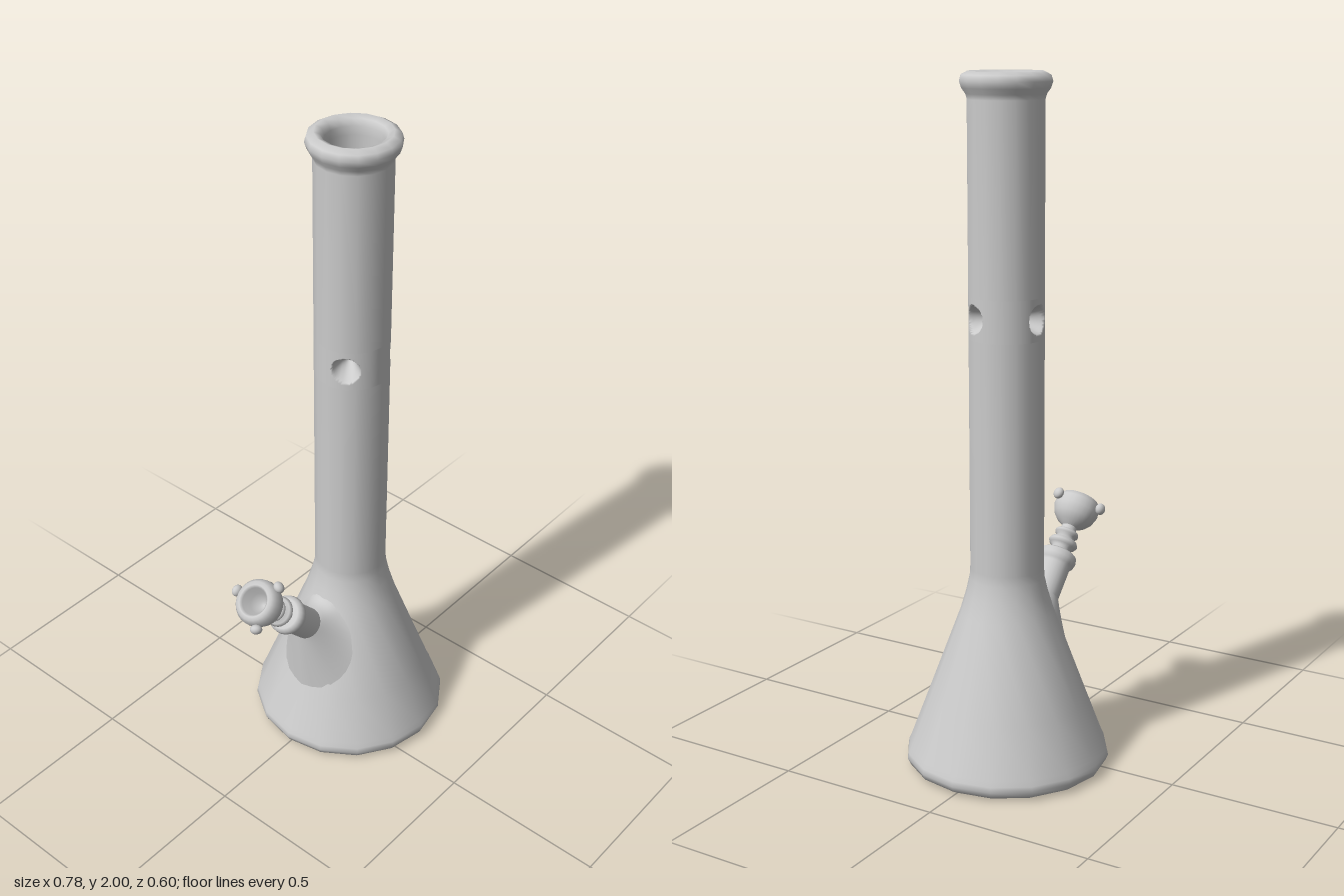
import * as THREE from 'three';

const AXIS_X = 0.09;          // centre line of the main vessel
const SIDES = 16;
const DENT_Y = 1.33, DENT_H = 0.12;
const TILT = 0.75;            // lean of the side joint
const JOINT = new THREE.Vector3(-0.205, 0.545, 0);

const solid = new THREE.MeshStandardMaterial({ color: 0xcccccc });
const thin = new THREE.MeshStandardMaterial({ color: 0xcccccc, side: THREE.DoubleSide });

function part(name, geometry, material = solid) {
  const mesh = new THREE.Mesh(geometry, material);
  mesh.name = name;
  return mesh;
}

function lathe(name, profile, sides = SIDES, material = solid) {
  const points = profile.map(([r, y]) => new THREE.Vector2(r, y));
  return part(name, new THREE.LatheGeometry(points, sides), material);
}

// Radius of the flared base at a given height
function baseRadius(y) {
  return y < 0.465
    ? THREE.MathUtils.mapLinear(y, 0.06, 0.465, 0.29, 0.138)
    : THREE.MathUtils.mapLinear(y, 0.465, 0.58, 0.138, 0.108);
}

// Distance from the centre to a many-sided wall at an angle
function facetRadius(r, angle) {
  const step = (2 * Math.PI) / SIDES;
  const a = ((angle % step) + step) % step - step / 2;
  return r * Math.cos(step / 2) / Math.cos(a);
}

// Dense band of tube wall with three pinches pushed towards the centre
function pinchedBand(name, r, dentRadius, depth) {
  const g = new THREE.CylinderGeometry(r, r, DENT_H, 160, 30, true);
  const pos = g.attributes.position;
  const radial = g.attributes.normal.clone();
  const dented = [];
  for (let i = 0; i < pos.count; i++) {
    const angle = Math.atan2(pos.getX(i), pos.getZ(i));
    const k = facetRadius(r, angle);
    let x = k * Math.sin(angle), z = k * Math.cos(angle);
    const y = pos.getY(i);
    for (const dir of [Math.PI, Math.PI / 3, -Math.PI / 3]) {
      const ux = Math.sin(dir), uz = Math.cos(dir);
      const q = Math.hypot(x * uz - z * ux, y) / dentRadius;
      if (x * ux + z * uz > 0 && q < 1) {
        const push = depth * (1 - Math.pow(q, 1.5));
        x -= ux * push;
        z -= uz * push;
        dented[i] = true;
        break;
      }
    }
    pos.setXYZ(i, x, y, z);
  }
  g.computeVertexNormals();
  const normal = g.attributes.normal;
  for (let i = 0; i < pos.count; i++) {
    if (!dented[i]) normal.setXYZ(i, radial.getX(i), radial.getY(i), radial.getZ(i));
  }
  const mesh = part(name, g, thin);
  mesh.position.y = DENT_Y;
  return mesh;
}

// Flared web between the side joint and the base
function jointBlend() {
  const around = 32, along = 10;
  const down = new THREE.Vector3(Math.sin(TILT), -Math.cos(TILT), 0);
  const across = new THREE.Vector3(Math.cos(TILT), Math.sin(TILT), 0);
  const centre = JOINT.clone().addScaledVector(down, 0.13);
  const verts = [], index = [];
  for (let i = 0; i < around; i++) {
    const a = (i / around) * 2 * Math.PI, c = Math.cos(a), s = Math.sin(a);
    const start = centre.clone().addScaledVector(across, 0.048 * c);
    start.z += 0.048 * s;
    const y = 0.37 + 0.165 * c, angle = -Math.PI / 2 + 0.8 * s;
    const r = facetRadius(baseRadius(y), angle) - 0.003;
    const end = new THREE.Vector3(AXIS_X + r * Math.sin(angle), y, r * Math.cos(angle));
    const bend = start.clone().lerp(end, 0.5).addScaledVector(down, 0.02 + 0.02 * c);
    const curve = new THREE.QuadraticBezierCurve3(start, bend, end);
    for (let j = 0; j <= along; j++) verts.push(...curve.getPoint(j / along).toArray());
    for (let j = 0; j < along; j++) {
      const p = i * (along + 1) + j, n = ((i + 1) % around) * (along + 1) + j;
      index.push(p, p + 1, n, n, p + 1, n + 1);
    }
  }
  const g = new THREE.BufferGeometry();
  g.setAttribute('position', new THREE.Float32BufferAttribute(verts, 3));
  g.setIndex(index);
  g.computeVertexNormals();
  return part('jointBlend', g, thin);
}

export function createModel() {
  const model = new THREE.Group();
  model.name = 'waterPipe';
  const low = DENT_Y - DENT_H / 2, high = DENT_Y + DENT_H / 2;

  // Main vessel: flared base, tall tube, rolled lip and inner wall
  const vessel = new THREE.Group();
  vessel.name = 'vessel';
  vessel.position.x = AXIS_X;
  vessel.add(
    lathe('base', [
      [0, 0], [0.26, 0], [0.275, 0.002], [0.292, 0.012], [0.3, 0.03], [0.297, 0.045], [0.29, 0.06],
      [0.237, 0.2], [0.138, 0.465], [0.12, 0.525], [0.11, 0.57], [0.108, 0.6], [0.108, low],
    ]),
    pinchedBand('outerPinches', 0.108, 0.042, 0.078),
    lathe('upperTubeAndLip', [
      [0.108, high], [0.108, 1.925], [0.112, 1.94], [0.123, 1.955], [0.129, 1.973], [0.124, 1.99],
      [0.105, 2], [0.088, 1.993], [0.08, 1.975], [0.08, 1.95], [0.08, high],
    ]),
    pinchedBand('innerPinches', 0.08, 0.05, 0.06),
    lathe('innerWall', [
      [0.08, low], [0.08, 0.6], [0.11, 0.465], [0.265, 0.06], [0.25, 0.03], [0, 0.03],
    ], SIDES, thin),
  );
  model.add(vessel, jointBlend());

  // Side joint with the removable bowl, built upright and then leaned over
  const side = new THREE.Group();
  side.name = 'sideJoint';
  side.position.copy(JOINT);
  side.rotation.z = TILT;
  side.add(
    lathe('jointCollar', [
      [0.048, -0.14], [0.048, -0.03], [0.055, -0.023], [0.059, -0.008], [0.056, 0.008],
      [0.046, 0.015], [0.025, 0.016],
    ], 24),
    lathe('slideRings', [
      [0.03, 0.01], [0.03, 0.03], [0.04, 0.035], [0.046, 0.045], [0.04, 0.055], [0.028, 0.06],
      [0.028, 0.068], [0.036, 0.073], [0.037, 0.08], [0.033, 0.086], [0.024, 0.09], [0.022, 0.115],
    ], 24),
    lathe('bowl', [
      [0.02, 0.1], [0.045, 0.115], [0.062, 0.135], [0.07, 0.16], [0.068, 0.185], [0.058, 0.2],
      [0.047, 0.202], [0.04, 0.195], [0.03, 0.165], [0.012, 0.14], [0, 0.138],
    ], 24),
  );
  // Three grip beads around the bowl
  for (const a of [Math.PI, Math.PI / 3, -Math.PI / 3]) {
    const bead = part('gripBead', new THREE.SphereGeometry(0.018, 16, 12));
    bead.position.set(0.079 * Math.sin(a), 0.178, 0.079 * Math.cos(a));
    bead.rotation.y = a;
    bead.scale.z = 0.8;
    side.add(bead);
  }
  model.add(side);
  return model;
}
